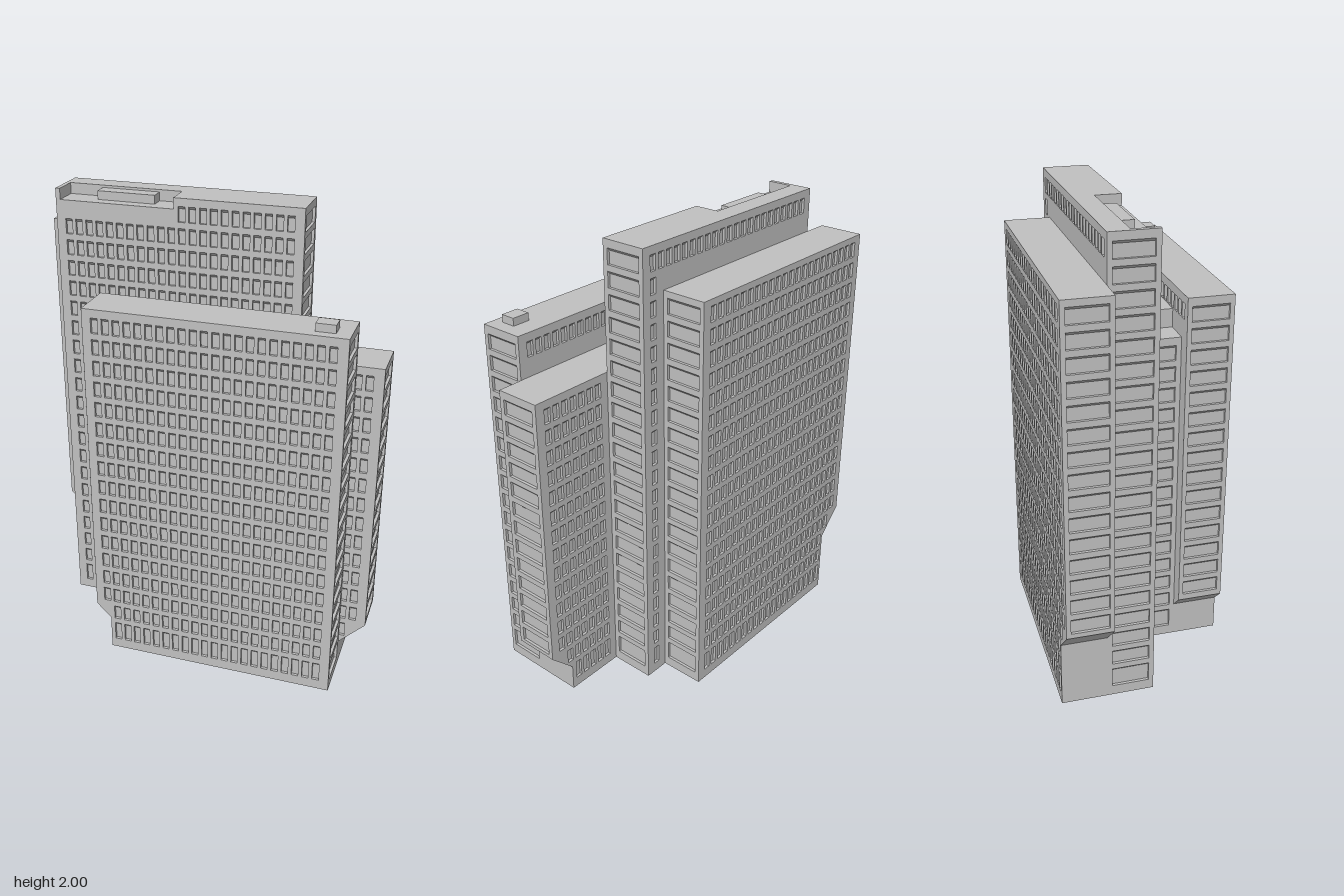
import * as THREE from 'three';
import { mergeGeometries } from 'three/addons/utils/BufferGeometryUtils.js';

const D = 0.012;        // window recess depth
const PITCH = 0.0917;   // storey height
const COL = 0.0459;     // window column spacing
const W = 0.03;         // window width
const concrete = new THREE.MeshStandardMaterial({ color: 0xc0c0c0 });
concrete.name = 'concrete';

const shapeOf = pts => new THREE.Shape(pts.map(p => new THREE.Vector2(p[0], p[1])));
const rowTop = k => 0.132 + k * PITCH;
const rowHeight = k => (k === 0 ? 0.087 : 0.066);

function addBox(group, name, x0, x1, y0, y1, z0, z1) {
  const m = new THREE.Mesh(new THREE.BoxGeometry(x1 - x0, y1 - y0, z1 - z0), concrete);
  m.position.set((x0 + x1) / 2, (y0 + y1) / 2, (z0 + z1) / 2);
  m.name = name;
  group.add(m);
}

// Solid inner body between two depths
function addCore(group, name, pts, z0, z1) {
  const g = new THREE.ExtrudeGeometry(shapeOf(pts), { depth: z1 - z0, bevelEnabled: false });
  const m = new THREE.Mesh(g.translate(0, 0, z0), concrete);
  m.name = name;
  group.add(m);
}

// Thin wall with window holes, each closed at the top by a sloped soffit
function addWall(group, name, pts, windows, rotY, x, z) {
  const shape = shapeOf(pts);
  const soffits = [];
  for (const [u, top, w, h] of windows) {
    const a = u - w / 2, b = u + w / 2;
    shape.holes.push(new THREE.Path([[a, top], [a, top - h], [b, top - h], [b, top]].map(p => new THREE.Vector2(...p))));
    soffits.push(new THREE.PlaneGeometry(w, D * Math.SQRT2).rotateX(Math.PI / 4)
      .translate(u, top - D / 2, D / 2).toNonIndexed());
  }
  const wall = new THREE.ExtrudeGeometry(shape, { depth: D, bevelEnabled: false });
  const m = new THREE.Mesh(mergeGeometries([wall, ...soffits]), concrete);
  m.rotation.y = rotY;
  m.position.set(x, 0, z);
  m.name = name;
  group.add(m);
}

// Slab outline; a cut corner has a sloped underside and a set-back foot
function outline(s, inset, notched) {
  const side = (x, sign, cut) => cut
    ? [[x - sign * inset, s.h], [x - sign * inset, cut.y1], [x, cut.y1], [cut.x, cut.y0], [cut.x, 0]]
    : [[x - sign * inset, s.h], [x - sign * inset, 0]];
  const pts = [...side(s.x0, -1, s.cutLow), ...side(s.x1, 1, s.cutHigh).reverse()];
  if (notched && s.notch) {
    const n = s.notch;
    pts.push([n.x1, s.h], [n.x1, n.y], [n.x0, n.y], [n.x0, s.h]);
  }
  return pts;
}

// True if a window at column x with its sill at y clears the cut corners
function fits(s, x, sill) {
  const clear = (cut, edge, sign) => {
    if (!cut || sill > cut.y1) return true;
    const t = Math.max(0, Math.min(1, (cut.y1 - sill) / (cut.y1 - cut.y0)));
    return sign * (edge + (cut.x - edge) * t - x) > W / 2 + 0.006;
  };
  return clear(s.cutLow, s.x0, -1) && clear(s.cutHigh, s.x1, 1);
}

function buildSlab(s) {
  const group = new THREE.Group();
  group.name = s.name;

  // Inner body, split in depth where the roof is notched
  if (s.notch) {
    addCore(group, 'rearCore', outline(s, D, false), s.z0 + D, s.notch.z);
    addCore(group, 'frontCore', outline(s, D, true), s.notch.z, s.z1 - D);
  } else {
    addCore(group, 'core', outline(s, D, false), s.z0 + D, s.z1 - D);
  }

  // Long walls
  for (const [name, sign, exposed] of [['frontWall', 1, s.front], ['backWall', -1, s.back]]) {
    const windows = [];
    for (let k = 0; k < s.rows; k++) {
      for (let i = 0; i < 22; i++) {
        const x = s.firstColumn + i * COL;
        if (exposed(x, k) && fits(s, x, rowTop(k) - rowHeight(k))) {
          windows.push([sign * x, rowTop(k), W, rowHeight(k)]);
        }
      }
    }
    const pts = outline(s, 0, sign > 0).map(([x, y]) => [sign * x, y]);
    addWall(group, name, pts, windows, sign > 0 ? 0 : Math.PI, 0, sign > 0 ? s.z1 - D : s.z0 + D);
  }

  // Narrow end walls, one wide window per storey
  const half = (s.z1 - s.z0) / 2 - D, zc = (s.z0 + s.z1) / 2;
  for (const [name, x, sign, cut] of [['leftEndWall', s.x1, 1, s.cutHigh], ['rightEndWall', s.x0, -1, s.cutLow]]) {
    const base = cut ? cut.y1 : 0;
    const windows = [];
    for (let k = 0; k < s.rows; k++) {
      if (rowTop(k) - rowHeight(k) > base + 0.01) windows.push([0, rowTop(k), 0.158, rowHeight(k)]);
    }
    const pts = [[-half, base], [half, base], [half, s.h], [-half, s.h]];
    addWall(group, name, pts, windows, sign * Math.PI / 2, x - sign * D, zc);
  }
  return group;
}

export function createModel() {
  const model = new THREE.Group();
  model.name = 'officeTower';

  // Four offset slabs, front to back; windows only where a wall is exposed
  const slabs = [
    { name: 'frontSlab', x0: -0.4, x1: 0.675, z0: 0.2, z1: 0.397, h: 1.635, rows: 17, firstColumn: -0.347,
      cutLow: { x: -0.335, y0: 0.157, y1: 0.222 },
      front: () => true, back: (x, k) => k === 16 },
    { name: 'innerFrontSlab', x0: -0.335, x1: 0.787, z0: 0, z1: 0.2, h: 1.45, rows: 15, firstColumn: -0.235,
      cutHigh: { x: 0.675, y0: 0.12, y1: 0.232 },
      front: x => x > 0.675, back: x => x > 0.42 },
    { name: 'innerBackSlab', x0: -0.675, x1: 0.4, z0: -0.2, z1: 0, h: 2, rows: 21, firstColumn: -0.62,
      notch: { x0: -0.655, x1: -0.15, y: 1.953, z: -0.11 },
      front: (x, k) => (k === 20 ? x > -0.13 : x < -0.35 || k > 15),
      back: (x, k) => x > 0.3 || k === 20 },
    { name: 'backSlab', x0: -0.79, x1: 0.285, z0: -0.397, z1: -0.2, h: 1.81, rows: 19, firstColumn: -0.737,
      cutLow: { x: -0.675, y0: 0.297, y1: 0.412 },
      front: x => x < -0.675, back: () => true },
  ];
  slabs.forEach(s => model.add(buildSlab(s)));

  // Rooftop plant rooms
  addBox(model, 'frontRoofVent', 0.535, 0.615, 1.635, 1.668, 0.29, 0.355);
  addBox(model, 'innerRoofHouse', -0.215, 0.07, 1.45, 1.53, 0, 0.2);
  addBox(model, 'notchPlantRoom', -0.505, -0.25, 1.953, 1.99, -0.11, -0.05);
  return model;
}
